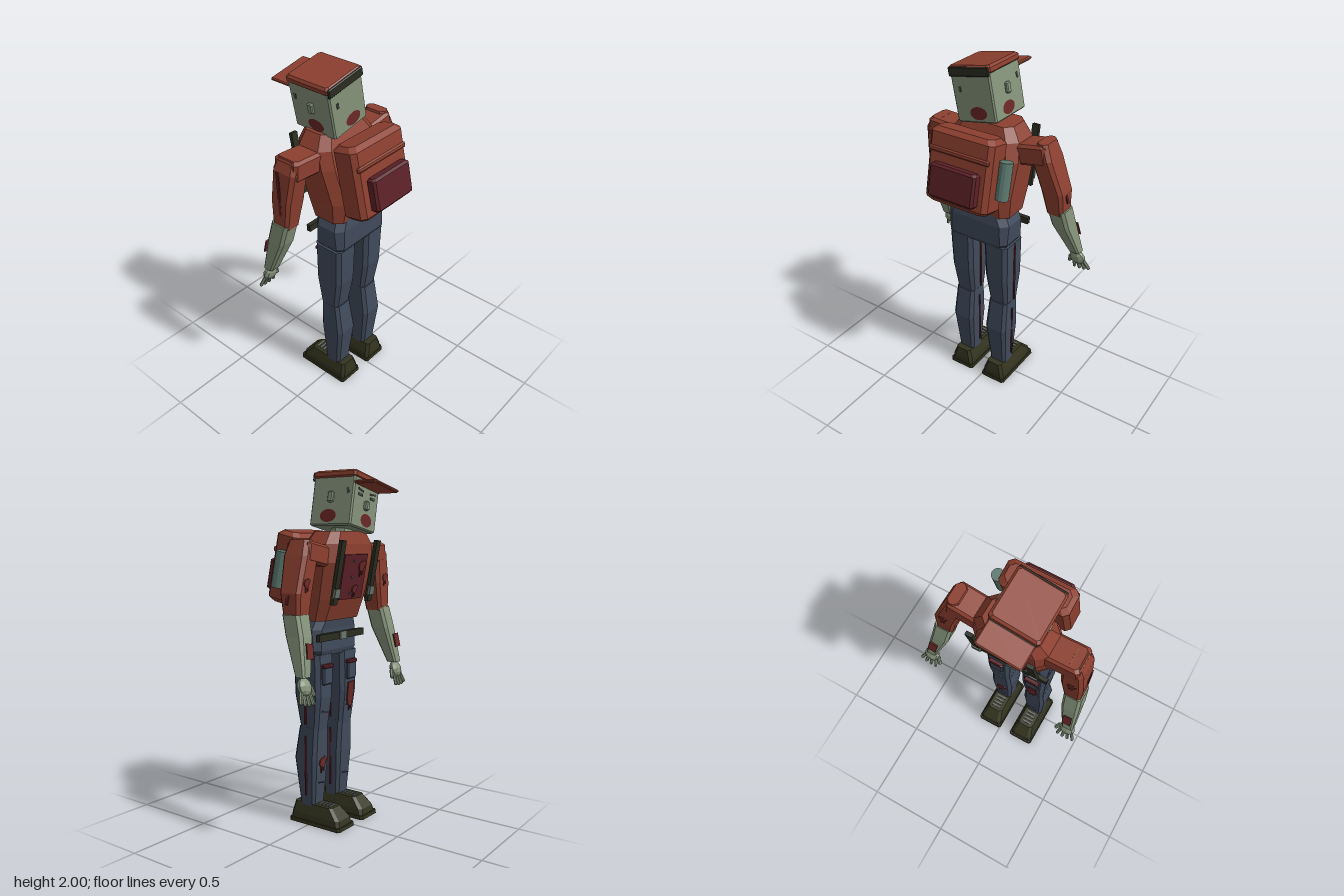
import * as THREE from 'three';

const mat = (name, color) => {
  const m = new THREE.MeshStandardMaterial({ color, flatShading: true });
  m.name = name;
  return m;
};

// Loft of chamfered rectangles; ring = [x, y, z, halfWidth, halfDepth, chamfer], bottom to top
function loft(rings) {
  const loops = rings.map(([x, y, z, w, d, c]) =>
    [[w, d - c], [w, c - d], [w - c, -d], [c - w, -d], [-w, c - d], [-w, d - c], [c - w, d], [w - c, d]]
      .map(([px, pz]) => [x + px, y, z + pz]));
  const pos = [];
  const tri = (a, b, c) => pos.push(...a, ...b, ...c);
  for (let r = 0; r < loops.length - 1; r++) {
    for (let i = 0; i < 8; i++) {
      const j = (i + 1) % 8, lo = loops[r], hi = loops[r + 1];
      tri(lo[i], lo[j], hi[j]);
      tri(lo[i], hi[j], hi[i]);
    }
  }
  const bottom = loops[0], top = loops[loops.length - 1];
  for (let i = 1; i < 7; i++) {
    tri(top[0], top[i], top[i + 1]);
    tri(bottom[0], bottom[i + 1], bottom[i]);
  }
  const g = new THREE.BufferGeometry();
  g.setAttribute('position', new THREE.Float32BufferAttribute(pos, 3));
  g.computeVertexNormals();
  return g;
}

const bevelBox = (w, h, d, b) => loft([
  [0, -h / 2, 0, w / 2 - b, d / 2 - b, b], [0, -h / 2 + b, 0, w / 2, d / 2, b],
  [0, h / 2 - b, 0, w / 2, d / 2, b], [0, h / 2, 0, w / 2 - b, d / 2 - b, b]]);

export function createModel() {
  const shirt = mat('rust shirt', 0x8c3f2f), skin = mat('pale green skin', 0x85937a);
  const denim = mat('slate denim', 0x414b5c), blood = mat('dried blood', 0x6a2826);
  const pocketRed = mat('maroon pocket', 0x5c2127), boot = mat('dark olive boot', 0x33331f);
  const strap = mat('dark strap', 0x2b2d20), flask = mat('teal flask', 0x5c7a70);
  const metal = mat('grey metal', 0x6c736c), dark = mat('dark mark', 0x4a4d48);
  const root = new THREE.Group();
  root.name = 'walkingFigure';

  const add = (parent, name, geo, m, x = 0, y = 0, z = 0, rx = 0, ry = 0, rz = 0) => {
    const mesh = new THREE.Mesh(geo, m);
    mesh.name = name;
    mesh.position.set(x, y, z);
    mesh.rotation.set(rx, ry, rz);
    parent.add(mesh);
    return mesh;
  };
  const group = (name, x, y, z, rx = 0, rz = 0) => {
    const g = new THREE.Group();
    g.name = name;
    g.position.set(x, y, z);
    g.rotation.set(rx, 0, rz);
    root.add(g);
    return g;
  };
  const box = (w, h, d) => new THREE.BoxGeometry(w, h, d);
  // Blotch with drips on a surface facing -z
  const splat = (parent, x, y, z, s, rx = 0) => {
    const g = new THREE.Group();
    g.name = 'bloodSplat';
    g.position.set(x, y, z);
    g.rotation.x = rx;
    parent.add(g);
    add(g, 'blotch', new THREE.CylinderGeometry(s, s, 0.008, 9), blood, 0, 0, 0, Math.PI / 2);
    add(g, 'blotchSide', new THREE.CylinderGeometry(s * 0.6, s * 0.6, 0.007, 8), blood, -s * 0.8, s * 0.6, 0, Math.PI / 2);
    for (const k of [-0.4, 0.35]) add(g, 'drip', box(s * 0.3, s * 1.8, 0.006), blood, k * s, -s * (1.1 + k * 0.4), 0);
  };

  // Torso and hips
  add(root, 'torso', loft([
    [-0.04, 1.18, 0.015, 0.195, 0.105, 0.04], [-0.04, 1.3, 0, 0.205, 0.135, 0.05],
    [-0.045, 1.5, -0.045, 0.222, 0.13, 0.05], [-0.05, 1.6, -0.06, 0.21, 0.115, 0.05],
    [-0.05, 1.67, -0.07, 0.16, 0.09, 0.04]]), shirt);
  add(root, 'hips', loft([
    [-0.04, 0.98, 0.025, 0.175, 0.085, 0.03], [-0.04, 1.01, 0.03, 0.195, 0.1, 0.03],
    [-0.04, 1.13, 0.03, 0.2, 0.1, 0.04], [-0.04, 1.19, 0.02, 0.17, 0.1, 0.04]]), denim);
  add(root, 'neck', new THREE.CylinderGeometry(0.06, 0.07, 0.08, 8), skin, -0.065, 1.68, -0.075);
  add(root, 'belt', box(0.435, 0.04, 0.025), strap, -0.04, 1.09, -0.085);
  add(root, 'beltBuckle', box(0.06, 0.045, 0.012), metal, -0.04, 1.09, -0.1);

  // Chest details on the leaning front of the torso
  const chest = group('chestFront', -0.04, 1.42, -0.166, -0.18);
  add(chest, 'chestPatch', box(0.22, 0.25, 0.009), pocketRed);
  splat(chest, -0.06, 0.06, -0.007, 0.028);
  splat(chest, -0.02, -0.07, -0.007, 0.022);
  for (const [i, y] of [0.09, 0.0, -0.09].entries()) add(chest, 'button' + i, box(0.012, 0.012, 0.008), metal, 0.02, y, -0.007);
  for (const s of [-1, 1]) {
    add(chest, 'shoulderStrap', box(0.04, 0.35, 0.022), strap, s * 0.17, 0.03, -0.014);
    add(chest, 'strapBuckle', box(0.046, 0.05, 0.014), metal, s * 0.17, -0.08, -0.026);
  }

  // Backpack with pocket and flask
  const pack = group('backpack', -0.05, 1.47, 0.195, -0.21);
  add(pack, 'packBody', bevelBox(0.4, 0.41, 0.155, 0.025), shirt);
  add(pack, 'packPocket', bevelBox(0.29, 0.185, 0.06, 0.012), pocketRed, 0.005, -0.065, 0.1);
  add(pack, 'packFlap', bevelBox(0.38, 0.03, 0.02, 0.008), shirt, 0, 0.09, 0.075);
  add(pack, 'flask', new THREE.CylinderGeometry(0.036, 0.036, 0.205, 12), flask, 0.232, -0.005, -0.02);

  // Head
  const head = group('head', -0.09, 1.82, -0.075, 0, 0.19);
  add(head, 'skull', bevelBox(0.25, 0.29, 0.275, 0.008), skin);
  add(head, 'cap', bevelBox(0.265, 0.046, 0.285, 0.012), shirt, 0, 0.136, 0);
  add(head, 'visor', bevelBox(0.245, 0.018, 0.14, 0.006), shirt, 0, 0.09, -0.196);
  add(head, 'capBand', bevelBox(0.255, 0.05, 0.015, 0.005), strap, 0, 0.128, 0.14);
  add(head, 'nose', bevelBox(0.032, 0.05, 0.03, 0.006), skin, 0, -0.015, -0.145);
  const mouthGeo = new THREE.CircleGeometry(0.054, 18).scale(1, 0.66, 1);
  for (const [x, z, ry] of [[0.02, 0.1395, 0], [0.1275, 0.015, Math.PI / 2], [-0.02, -0.1395, Math.PI], [-0.1275, 0.015, -Math.PI / 2]]) {
    add(head, ry === Math.PI ? 'mouth' : 'mouthWound', mouthGeo, blood, x, -0.092, z, 0, ry);
  }
  for (const s of [-1, 1]) {
    add(head, 'ear', bevelBox(0.022, 0.06, 0.035, 0.006), skin, s * 0.132, 0.01, 0.005);
    add(head, 'eye', box(0.04, 0.014, 0.006), dark, s * 0.06, 0.035, -0.139);
    add(head, 'brow', box(0.05, 0.009, 0.006), dark, s * 0.06, 0.06, -0.139, 0, 0, s * 0.15);
    add(head, 'templeScratch', box(0.005, 0.03, 0.014), dark, s * 0.126, 0.045, -0.1, 0.2);
  }
  add(head, 'neckScratch', box(0.014, 0.03, 0.005), dark, -0.075, 0.035, 0.139);

  // Arms: the model's left one swings outward, the right one hangs
  const arms = [
    { s: 1, shoulder: [0.225, 1.548, 0.18],
      sleeve: [[0.365, 1.215, -0.085, 0.05, 0.054, 0.015], [0.352, 1.35, -0.075, 0.064, 0.068, 0.018],
        [0.292, 1.54, -0.06, 0.062, 0.078, 0.02], [0.29, 1.625, -0.06, 0.03, 0.065, 0.02]],
      fore: [[0.437, 0.93, -0.185, 0.032, 0.032, 0.01], [0.385, 1.13, -0.118, 0.052, 0.058, 0.016],
        [0.37, 1.24, -0.086, 0.054, 0.058, 0.016]], hand: [0.443, 0.88, -0.198], splay: 0.18 },
    { s: -1, shoulder: [-0.335, 1.545, -0.06],
      sleeve: [[-0.422, 1.205, -0.085, 0.05, 0.054, 0.015], [-0.408, 1.37, -0.075, 0.065, 0.068, 0.018],
        [-0.395, 1.54, -0.06, 0.06, 0.078, 0.02], [-0.395, 1.605, -0.06, 0.03, 0.065, 0.02]],
      fore: [[-0.46, 0.89, -0.185, 0.034, 0.032, 0.01], [-0.437, 1.1, -0.118, 0.052, 0.058, 0.016],
        [-0.428, 1.225, -0.086, 0.052, 0.058, 0.016]], hand: [-0.46, 0.845, -0.198], splay: -0.05 }];
  for (const { s, shoulder: [sx, sy, rot], sleeve, fore, hand: [hx, hy, hz], splay } of arms) {
    const side = s > 0 ? 'left' : 'right';
    add(root, side + 'Shoulder', bevelBox(0.2, 0.115, 0.16, 0.015), shirt, sx, sy, -0.06, 0, 0, rot);
    add(root, side + 'Sleeve', loft(sleeve), shirt);
    add(root, side + 'Forearm', loft(fore), skin);
    const [a, b] = fore;
    add(root, side + 'ForearmWound', box(0.05, 0.08, 0.008), blood,
      (a[0] + b[0]) / 2, (a[1] + b[1]) / 2 + 0.03, (a[2] + b[2]) / 2 - 0.058, 0.22, 0, splay);
    splat(root, sleeve[1][0], 1.4, -0.143, 0.022, 0.03);
    add(root, side + 'SleeveTear', box(0.007, 0.27, 0.016), pocketRed,
      s > 0 ? 0.387 : -0.473, 1.42, -0.07, 0, 0, s > 0 ? 0.31 : 0.03);
    // Hand with four fingers and a thumb
    const hand = group(side + 'Hand', hx, hy, hz, 0.35, splay);
    add(hand, 'palm', new THREE.SphereGeometry(0.05, 9, 6), skin).scale.set(0.95, 1, 0.6);
    for (let i = 0; i < 4; i++) {
      const k = i - 1.5;
      add(hand, 'finger' + i, new THREE.CapsuleGeometry(0.01, 0.055, 2, 6), skin, k * 0.027, -0.068 + Math.abs(k) * 0.006, 0, 0, 0, k * 0.16);
    }
    add(hand, 'thumb', new THREE.CapsuleGeometry(0.012, 0.04, 2, 6), skin, -s * 0.055, -0.02, 0, 0, 0, -s * 0.4);
  }

  // Legs and boots
  for (const s of [1, -1]) {
    const side = s > 0 ? 'left' : 'right';
    const leg = group(side + 'Leg', s * 0.118 - 0.04, 0, 0);
    add(leg, 'thigh', loft([
      [0, 0.55, 0.015, 0.06, 0.06, 0.018], [0, 0.75, 0.02, 0.073, 0.09, 0.022],
      [0, 0.99, 0.025, 0.078, 0.093, 0.022]]), denim);
    add(leg, 'shin', loft([
      [0, 0.1, 0.03, 0.053, 0.05, 0.015], [0, 0.38, 0.037, 0.071, 0.078, 0.02],
      [0, 0.57, 0.02, 0.062, 0.065, 0.018]]), denim);
    add(leg, 'thighSeam', box(0.006, 0.39, 0.012), pocketRed, 0.078, 0.785, 0.02);
    add(leg, 'shinSeam', box(0.006, 0.35, 0.01), pocketRed, 0.07, 0.345, 0.025);
    add(leg, 'thighPocket', bevelBox(0.085, 0.1, 0.025, 0.006), denim, 0, 0.87, -0.073);
    add(leg, 'pocketFlap', bevelBox(0.092, 0.022, 0.032, 0.005), pocketRed, 0, 0.925, -0.076);
    for (const y of [0.66, 0.47, 0.24]) add(leg, 'crease', box(0.06, 0.006, 0.006), dark, 0, y, y > 0.6 ? -0.063 : -0.039, 0, 0, 0.2).material = denim;
    if (s < 0) {
      add(leg, 'thighWound', box(0.06, 0.11, 0.008), blood, 0, 0.745, -0.072, -0.09);
      splat(leg, 0, 0.68, -0.066, 0.024);
    } else splat(leg, 0, 0.36, -0.042, 0.028);

    add(leg, 'bootSole', loft([
      [0, 0, -0.037, 0.082, 0.178, 0.012], [0, 0.022, -0.037, 0.08, 0.176, 0.012]]), boot);
    add(leg, 'bootUpper', loft([
      [0, 0.02, -0.035, 0.075, 0.17, 0.015], [0, 0.055, -0.032, 0.07, 0.165, 0.018],
      [0, 0.115, -0.008, 0.05, 0.13, 0.015]]), boot);
    for (let i = 0; i < 4; i++) add(leg, 'lace' + i, box(0.06, 0.008, 0.01), metal, 0, 0.117, -0.04 - i * 0.024);
  }
  return root;
}
